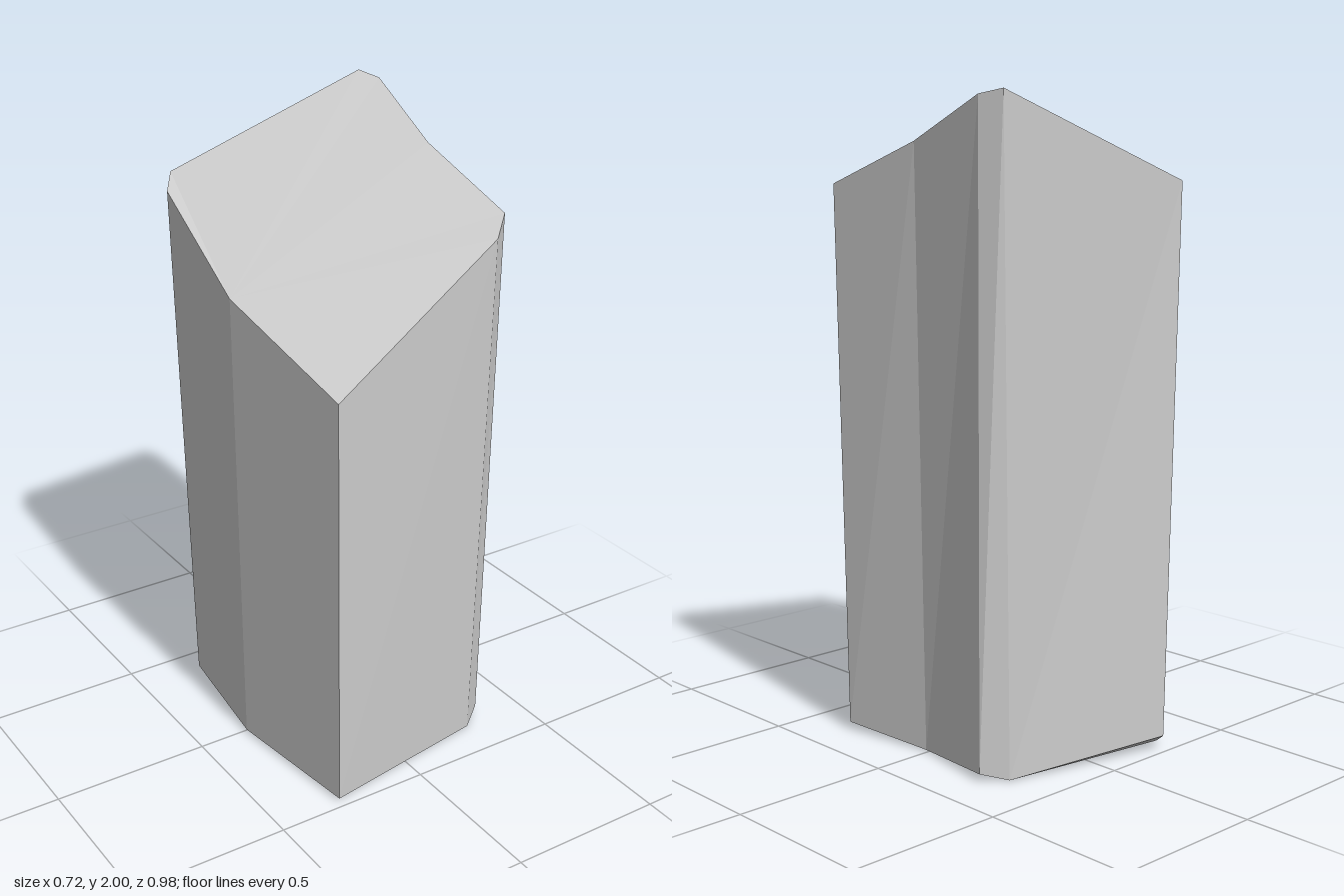
import * as THREE from 'three';

// Matching corner rings [x, y, z], counter-clockwise seen from above, starting front left
const TOP = [
  [-0.30, 1.335, 0.49], [0.29, 1.675, 0.41], [0.355, 1.725, 0.355],
  [0.33, 1.855, 0.01], [0.36, 1.985, -0.295], [0.33, 2.0, -0.365],
  [-0.275, 1.74, -0.49], [-0.32, 1.70, -0.43], [-0.36, 1.50, 0.01],
];
const BOTTOM = [
  [-0.285, 0.01, 0.475], [0.28, 0.0, 0.37], [0.35, 0.025, 0.32],
  [0.30, 0.003, 0.01], [0.355, 0.025, -0.29], [0.285, 0.003, -0.345],
  [-0.235, 0.045, -0.487], [-0.28, 0.0, -0.42], [-0.34, 0.01, 0.01],
];

function facetedMesh(name, triangles) {
  const geometry = new THREE.BufferGeometry();
  geometry.setAttribute('position', new THREE.Float32BufferAttribute(triangles.flat(2), 3));
  geometry.computeVertexNormals();
  const mesh = new THREE.Mesh(
    geometry,
    new THREE.MeshStandardMaterial({ color: 0xcccccc, flatShading: true })
  );
  mesh.name = name;
  return mesh;
}

// Fan of triangles around the last corner of a loop
function fan(loop) {
  const hub = loop[loop.length - 1];
  return loop.slice(0, -2).map((p, i) => [hub, p, loop[i + 1]]);
}

export function createModel() {
  const group = new THREE.Group();
  group.name = 'stoneColumn';

  // Slightly twisted side facets between the two rings
  const sides = [];
  TOP.forEach((top, i) => {
    const j = (i + 1) % TOP.length;
    sides.push([BOTTOM[i], BOTTOM[j], TOP[j]], [BOTTOM[i], TOP[j], top]);
  });
  group.add(facetedMesh('columnSides', sides));

  // Sloping top cut
  group.add(facetedMesh('slopedTop', fan(TOP)));

  // Flat base with three chipped corners
  const chipped = [2, 4, 6];
  const base = fan(BOTTOM.filter((p, i) => !chipped.includes(i)));
  chipped.forEach((i) => base.push([BOTTOM[i - 1], BOTTOM[i], BOTTOM[i + 1]]));
  group.add(facetedMesh('base', base.map(([a, b, c]) => [a, c, b])));

  return group;
}
